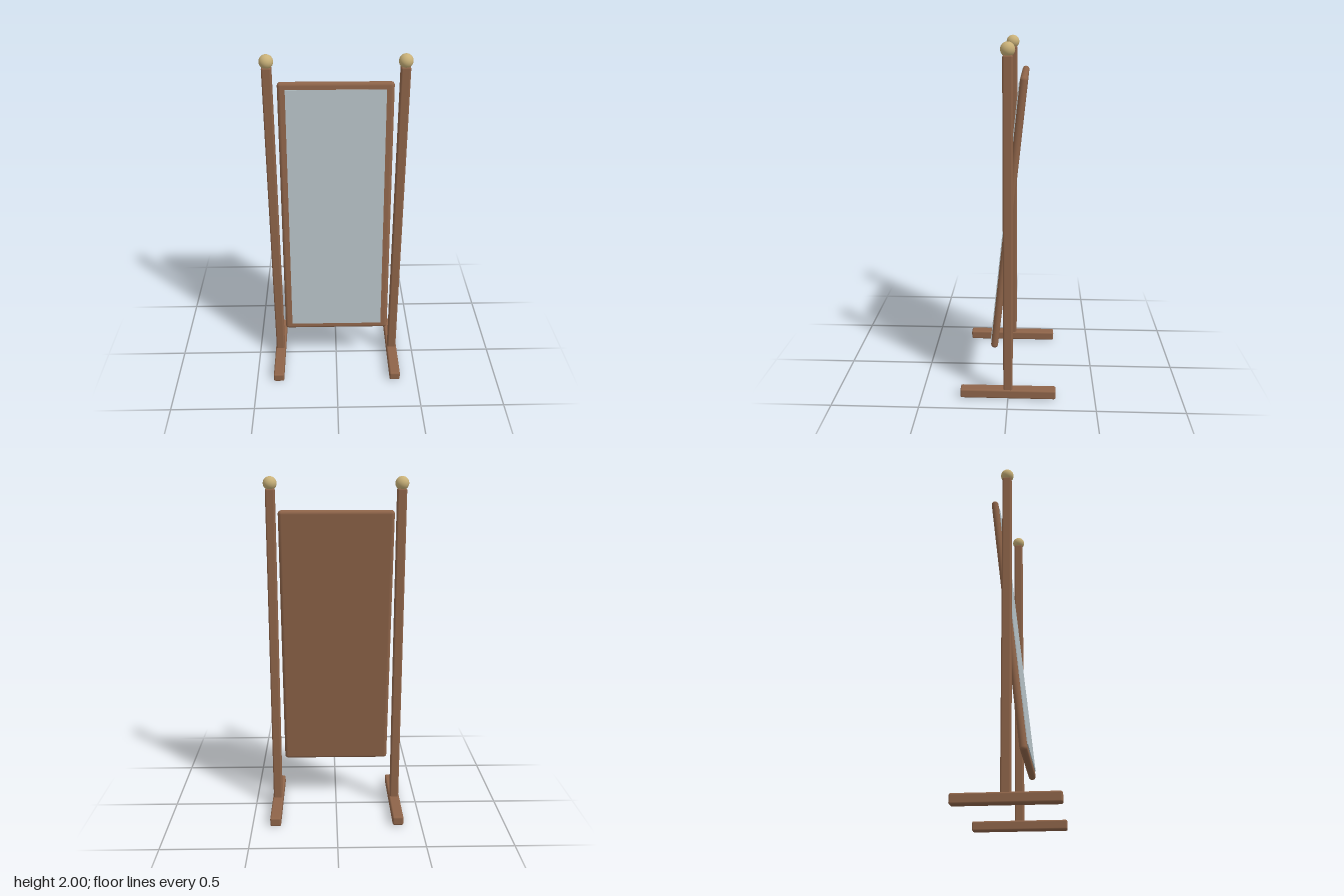
import * as THREE from 'three';
import { RoundedBoxGeometry } from 'three/addons/geometries/RoundedBoxGeometry.js';

export function createModel() {
  const model = new THREE.Group();
  model.name = 'standingMirror';

  const material = (name, color) => {
    const m = new THREE.MeshStandardMaterial({ color });
    m.name = name;
    return m;
  };
  const wood = material('wood', 0x8e6449);
  const glass = material('mirror glass', 0xb4c0c4);
  const brass = material('brass', 0xc8b078);

  const add = (parent, name, geometry, mat, x, y, z) => {
    const mesh = new THREE.Mesh(geometry, mat);
    mesh.name = name;
    mesh.position.set(x, y, z);
    parent.add(mesh);
    return mesh;
  };

  // Two uprights, each with a floor foot and a ball finial
  const footGeo = new RoundedBoxGeometry(0.064, 0.055, 0.55, 3, 0.01);
  const postGeo = new RoundedBoxGeometry(0.053, 1.895, 0.053, 3, 0.01);
  const ballGeo = new THREE.SphereGeometry(0.038, 32, 20);
  for (const [side, s] of [['left', 1], ['right', -1]]) {
    const stand = new THREE.Group();
    stand.name = side + 'Stand';
    stand.position.x = s * 0.363;
    add(stand, side + 'Foot', footGeo, wood, 0, 0.0275, 0);
    add(stand, side + 'Post', postGeo, wood, 0, 0.9875, 0);
    add(stand, side + 'Finial', ballGeo, brass, 0, 1.962, 0);
    model.add(stand);
  }

  // Panel leaning back, with the glass standing slightly proud of the frame
  const panel = new THREE.Group();
  panel.name = 'tiltedPanel';
  panel.position.y = 1.052;
  panel.rotation.x = -0.106;
  add(panel, 'frame', new RoundedBoxGeometry(0.636, 1.554, 0.04, 5, 0.0198), wood, 0, 0, 0);
  add(panel, 'mirrorGlass', new THREE.BoxGeometry(0.55, 1.475, 0.009), glass, 0, 0, 0.0205);
  model.add(panel);

  return model;
}
